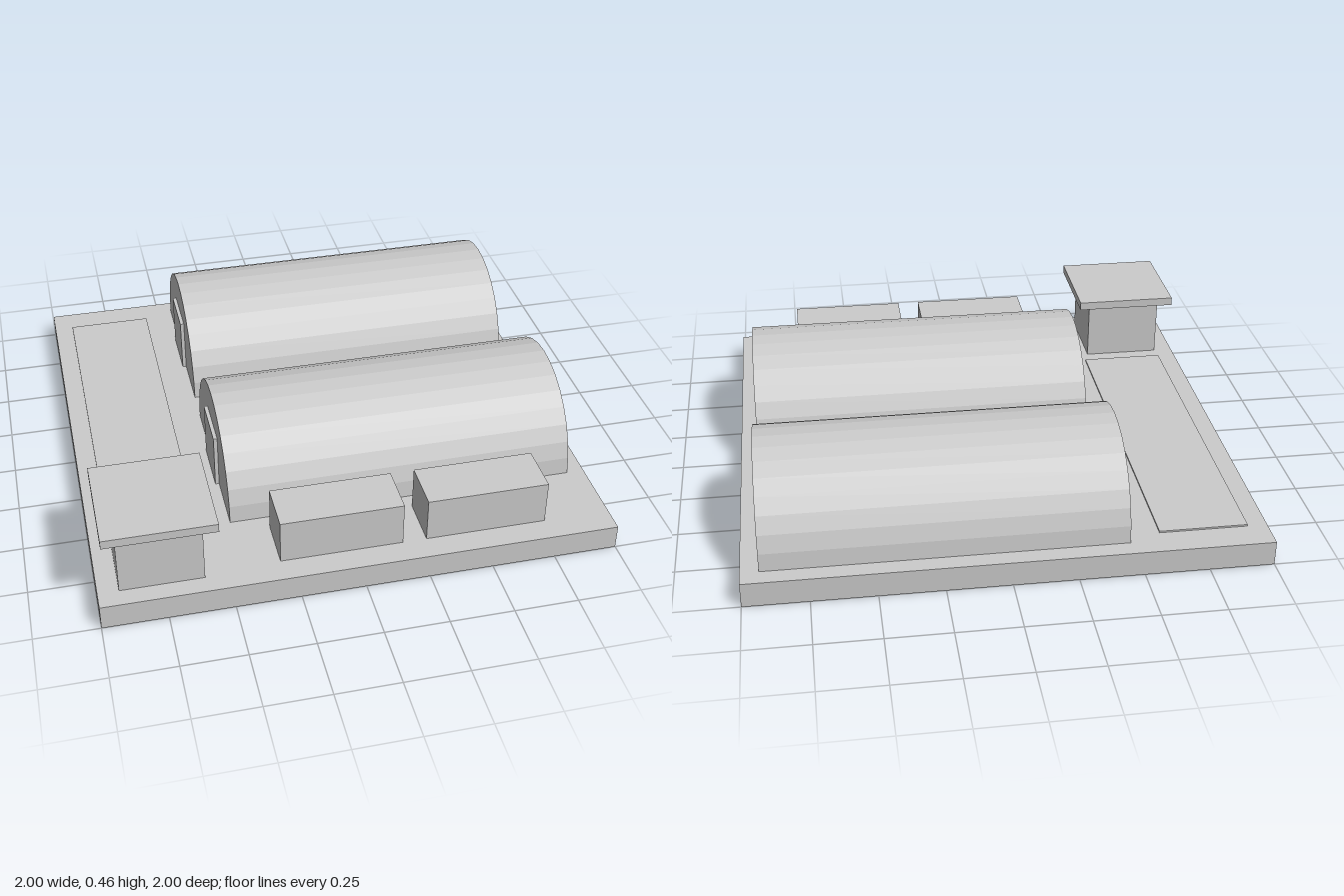
import * as THREE from 'three';

const BASE_TOP = 0.1;

export function createModel() {
  const model = new THREE.Group();
  const material = new THREE.MeshStandardMaterial({ color: 0xcccccc, flatShading: true });

  function add(parent, name, geometry, x, y, z) {
    const mesh = new THREE.Mesh(geometry, material);
    mesh.name = name;
    mesh.position.set(x, y, z);
    parent.add(mesh);
    return mesh;
  }

  // Box resting on height y, centred on x and z
  function block(parent, name, w, h, d, x, y, z) {
    return add(parent, name, new THREE.BoxGeometry(w, h, d), x, y + h / 2, z);
  }

  // Ground slab
  block(model, 'baseSlab', 2, BASE_TOP, 2, 0, 0, 0);

  // Thin paved strip in front of the hangar doors
  block(model, 'pavedStrip', 0.345, 0.007, 1.42, -0.75, BASE_TOP, -0.17);

  // Two half-cylinder hangars, each with a door at the -x end
  const radius = 0.36, start = -0.455, end = 0.93;
  for (const z of [0.28, -0.57]) {
    const hangar = new THREE.Group();
    hangar.name = 'hangar';
    const shell = new THREE.CylinderGeometry(radius, radius, end - start, 16, 1, false, 0, Math.PI);
    shell.rotateZ(Math.PI / 2);
    add(hangar, 'hangarShell', shell, (start + end) / 2, BASE_TOP, z);
    block(hangar, 'hangarDoor', 0.03, 0.225, 0.225, start, BASE_TOP, z + 0.003);
    model.add(hangar);
  }

  // Guard hut with overhanging flat roof
  const hut = new THREE.Group();
  hut.name = 'guardHut';
  block(hut, 'hutWalls', 0.32, 0.257, 0.32, -0.76, BASE_TOP, 0.765);
  block(hut, 'hutRoof', 0.425, 0.035, 0.425, -0.76, 0.357, 0.765);
  model.add(hut);

  // Storage containers along the front edge
  for (const x of [-0.072, 0.498]) {
    block(model, 'container', 0.477, 0.18, 0.2, x, BASE_TOP, 0.8);
  }

  return model;
}
